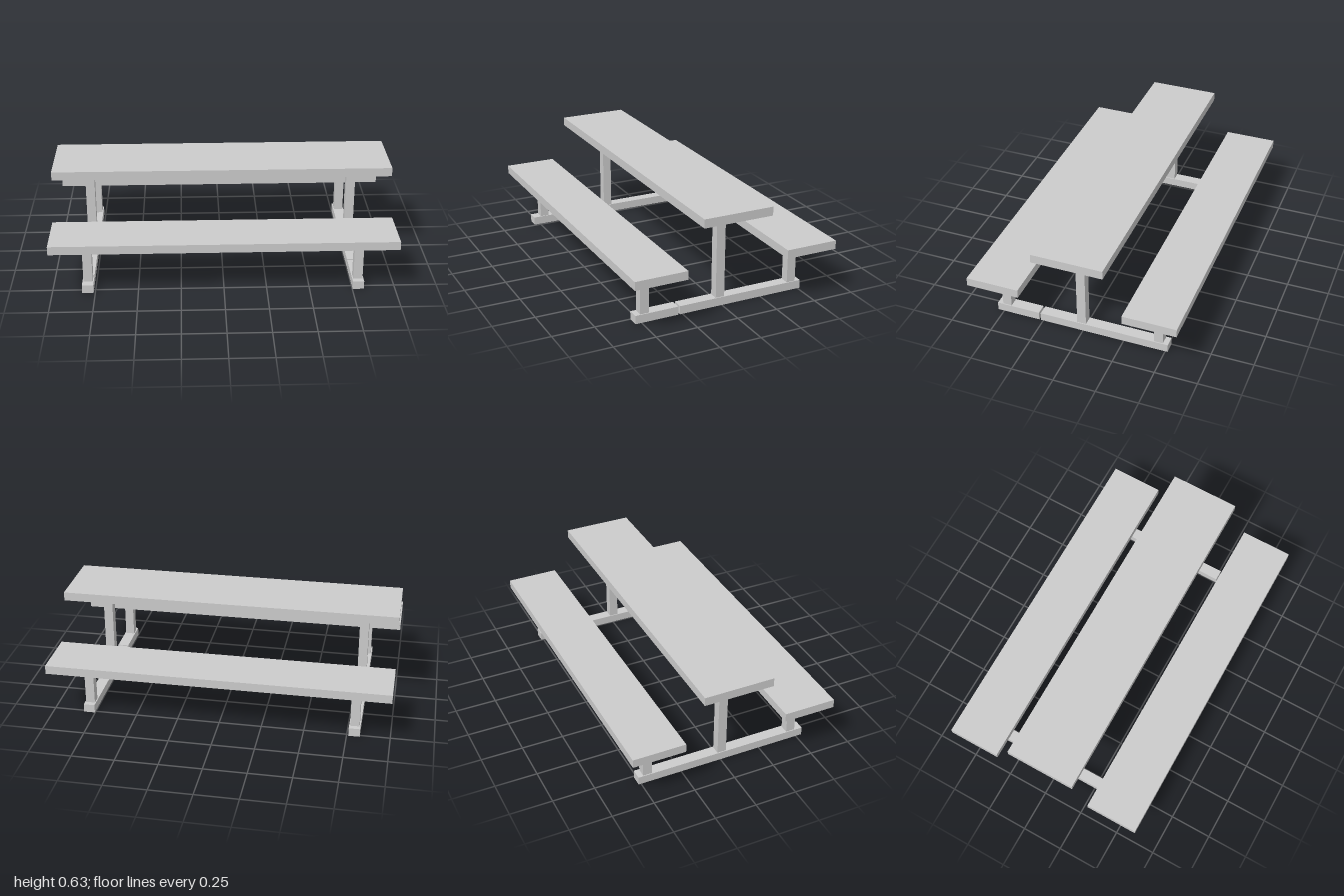
import * as THREE from 'three';

const material = new THREE.MeshStandardMaterial({ color: 0xcccccc, flatShading: true });

// Box given by its [min, max] range on each axis
function beam(name, [x0, x1], [y0, y1], [z0, z1]) {
  const mesh = new THREE.Mesh(new THREE.BoxGeometry(x1 - x0, y1 - y0, z1 - z0), material);
  mesh.name = name;
  mesh.position.set((x0 + x1) / 2, (y0 + y1) / 2, (z0 + z1) / 2);
  return mesh;
}

export function createModel() {
  const model = new THREE.Group();
  model.name = 'picnicTable';

  // Table top and the two benches
  const length = [-1, 1];
  const seatY = [0.298, 0.349];
  model.add(
    beam('tableTop', length, [0.575, 0.627], [-0.202, 0.217]),
    beam('frontBench', length, seatY, [0.309, 0.623]),
    beam('backBench', length, seatY, [-0.623, -0.308]),
  );

  // End frames: the left foot rail is split in two by a narrow gap
  const frames = [
    { name: 'leftFrame', x: 0.785, frontLegZ: 0.479, rails: [[-0.515, 0.264], [0.275, 0.538]] },
    { name: 'rightFrame', x: -0.793, frontLegZ: 0.463, rails: [[-0.515, 0.538]] },
  ];
  for (const { name, x, frontLegZ, rails } of frames) {
    const frame = new THREE.Group();
    frame.name = name;
    const railX = [x - 0.033, x + 0.033];
    for (const z of rails) frame.add(beam('footRail', railX, [0, 0.05], z));

    // Square posts standing on the rail
    const post = (label, z, top) =>
      beam(label, [x - 0.027, x + 0.027], [0.05, top], [z - 0.027, z + 0.027]);
    frame.add(
      post('tablePost', 0.01, 0.575),
      post('frontBenchLeg', frontLegZ, 0.298),
      post('backBenchLeg', -0.457, 0.298),
    );
    model.add(frame);
  }
  return model;
}
